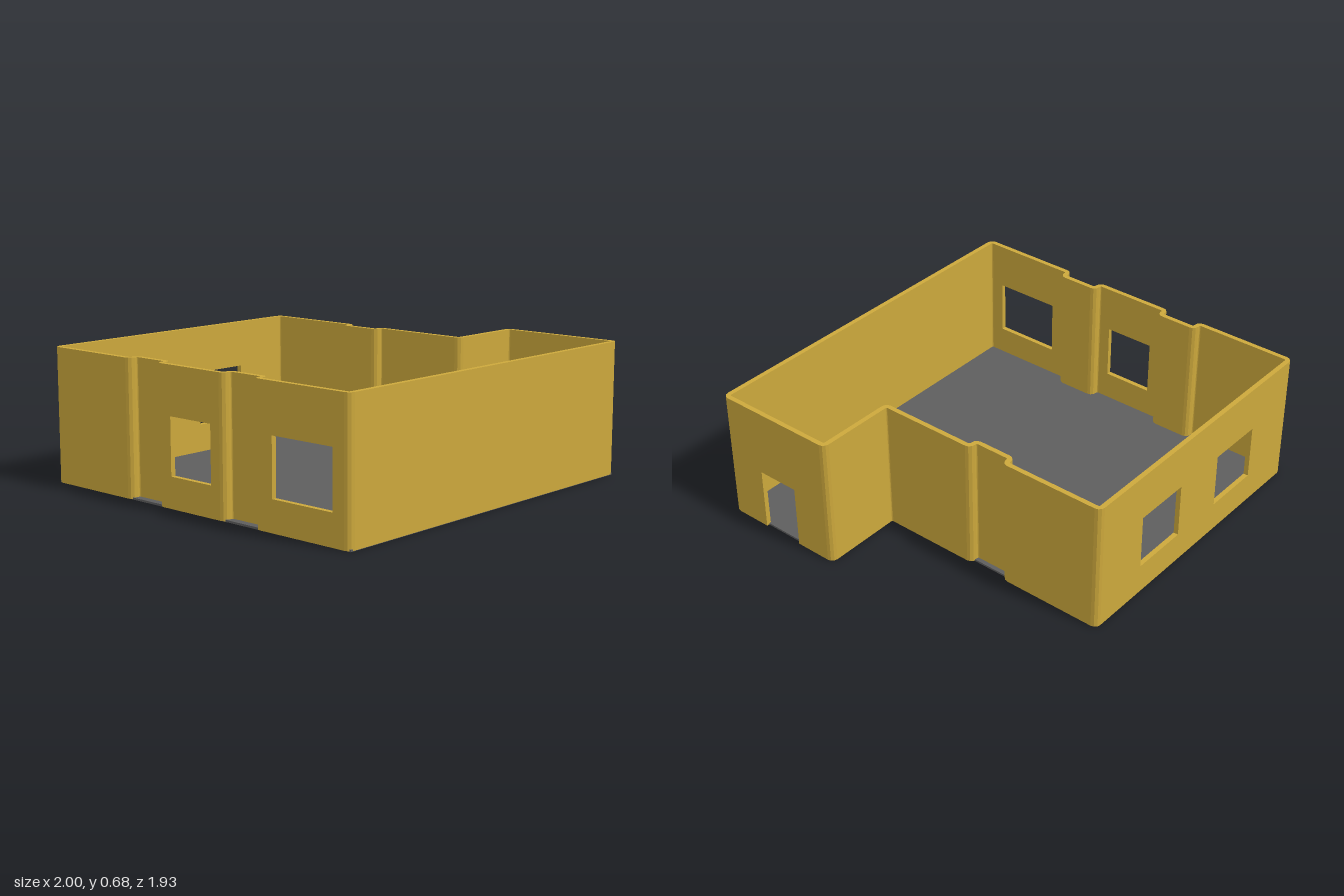
import * as THREE from 'three';

const HEIGHT = 0.68, BASE = 0.003, THICK = 0.025, BEND = 0.02;

// Centre line of the walls in plan, as [x, z]
const PLAN = [
  [-0.9875, -0.955], [0.567, -0.955],                                    // back
  [0.567, -0.422], [0.522, -0.422], [0.522, -0.213], [0.567, -0.213],   // right side recess
  [0.567, 0.307], [0.9875, 0.307], [0.9875, 0.955],                     // step and door wall
  [-0.9875, 0.955],                                                     // front
  [-0.9875, 0.417], [-0.94, 0.417], [-0.94, 0.207], [-0.9875, 0.207],   // left side recesses
  [-0.9875, -0.213], [-0.94, -0.213], [-0.94, -0.422], [-0.9875, -0.422],
];

// Openings per wall: [from, to, bottom, top], from/to along the wall's world axis
const OPENINGS = {
  0: [[-0.67, -0.365, 0.157, 0.44], [-0.06, 0.245, 0.157, 0.44]],
  7: [[0.522, 0.745, 0, 0.33]],
  9: [[0.515, 0.87, 0.157, 0.44]],
  13: [[-0.135, 0.13, 0.157, 0.44]],
};
OPENINGS[9][0][0] = 0.515;

const rectangle = (a, b, bottom, top) => new THREE.Path([
  new THREE.Vector2(a, bottom), new THREE.Vector2(a, top),
  new THREE.Vector2(b, top), new THREE.Vector2(b, bottom),
]);

// Straight wall with windows cut through and doors cut up from the base
function wallGeometry(length, openings) {
  const shape = new THREE.Shape().moveTo(BEND, BASE);
  for (const [a, b, bottom, top] of openings) {
    if (bottom > BASE) shape.holes.push(rectangle(a, b, bottom, top));
    else shape.lineTo(a, BASE).lineTo(a, top).lineTo(b, top).lineTo(b, BASE);
  }
  shape.lineTo(length - BEND, BASE).lineTo(length - BEND, HEIGHT).lineTo(BEND, HEIGHT);
  return new THREE.ExtrudeGeometry(shape, { depth: THICK, bevelEnabled: false })
    .translate(0, 0, -THICK / 2);
}

// Upright prism from plan points
function prism(points, bottom, top) {
  const shape = new THREE.Shape(points.map(([x, z]) => new THREE.Vector2(x, -z)));
  return new THREE.ExtrudeGeometry(shape, { depth: top - bottom, bevelEnabled: false })
    .rotateX(-Math.PI / 2).translate(0, bottom, 0);
}

// Rounded corner joining two walls
function bendGeometry([x, z], din, dout) {
  const cx = x + (dout[0] - din[0]) * BEND, cz = z + (dout[1] - din[1]) * BEND;
  const arc = (r) => [0, 1, 2, 3].map((i) => {
    const t = (i / 3) * Math.PI / 2, c = Math.cos(t) * r, s = Math.sin(t) * r;
    return [cx - dout[0] * c + din[0] * s, cz - dout[1] * c + din[1] * s];
  });
  const points = [...arc(BEND + THICK / 2), ...arc(BEND - THICK / 2).reverse()];
  return prism(points, BASE, HEIGHT);
}

export function createModel() {
  const model = new THREE.Group();
  model.name = 'roomShell';
  const wallPaint = new THREE.MeshStandardMaterial({ color: 0xcca83c });
  wallPaint.name = 'ochreWall';
  const floorPaint = new THREE.MeshStandardMaterial({ color: 0x5e5e5e });
  floorPaint.name = 'greyFloor';

  const walls = new THREE.Group();
  walls.name = 'walls';
  model.add(walls);
  const add = (parent, name, geometry, material) => {
    const mesh = new THREE.Mesh(geometry, material);
    mesh.name = name;
    parent.add(mesh);
    return mesh;
  };

  const count = PLAN.length;
  const direction = (i) => {
    const a = PLAN[i % count], b = PLAN[(i + 1) % count];
    return [Math.sign(b[0] - a[0]), Math.sign(b[1] - a[1])];
  };

  PLAN.forEach((start, i) => {
    const end = PLAN[(i + 1) % count], dir = direction(i);
    const axis = dir[0] ? 0 : 1;
    // Openings measured from the start of the wall
    const openings = (OPENINGS[i] || []).map(([a, b, bottom, top]) => {
      const s = [a, b].map((v) => Math.abs(v - start[axis])).sort((p, q) => p - q);
      return [...s, bottom, top];
    });
    const length = Math.abs(end[axis] - start[axis]);
    const wall = add(walls, 'wall' + i, wallGeometry(length, openings), wallPaint);
    wall.position.set(start[0], 0, start[1]);
    wall.rotation.y = Math.atan2(-dir[1], dir[0]);
    add(walls, 'corner' + i, bendGeometry(start, direction(i + count - 1), dir), wallPaint);
  });

  // Floor slab with square corners, running straight past the recesses
  const floor = [[-0.99, -0.96], [0.557, -0.96], [0.557, 0.302], [0.985, 0.302],
    [0.985, 0.965], [-0.99, 0.965]];
  add(model, 'floor', prism(floor, 0, 0.01), floorPaint);
  return model;
}
